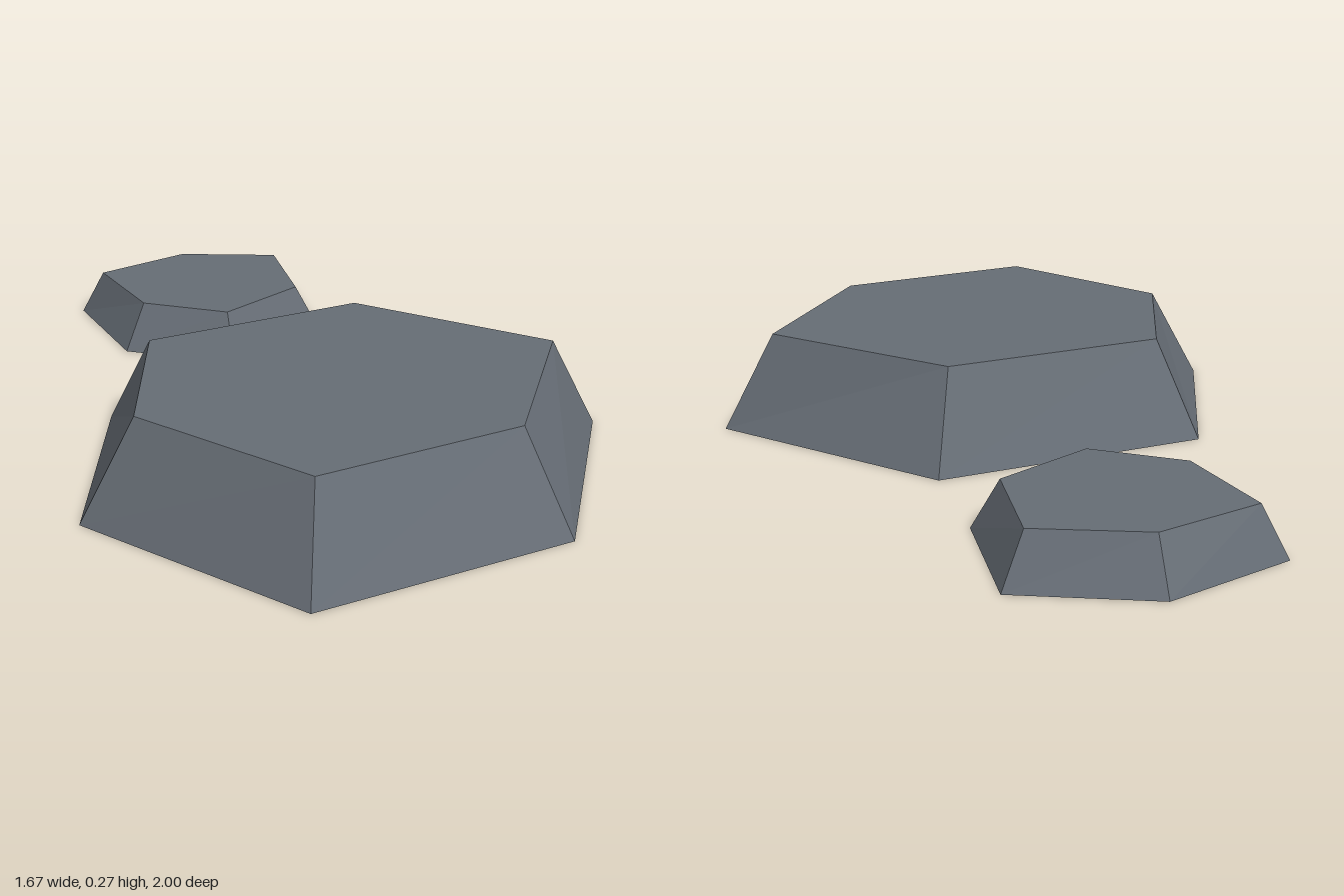
import * as THREE from 'three';

const slate = new THREE.MeshStandardMaterial({ color: 0x666d75, flatShading: true, side: THREE.DoubleSide });
slate.name = 'slateStone';

// Flat-topped stone, open underneath: two [x, z] outlines joined by sloping sides
function stone(name, base, top, height) {
  const n = base.length;
  const points = [...base.map(([x, z]) => [x, 0, z]), ...top.map(([x, z]) => [x, height, z])];
  const index = [];
  for (let i = 0; i < n; i++) {
    const j = (i + 1) % n;
    index.push(j, i, n + i, j, n + i, n + j); // sloping side
    if (i > 0 && i < n - 1) index.push(n, n + i + 1, n + i); // flat top
  }
  const indexed = new THREE.BufferGeometry();
  indexed.setAttribute('position', new THREE.Float32BufferAttribute(points.flat(), 3));
  indexed.setIndex(index);
  const geometry = indexed.toNonIndexed();
  geometry.computeVertexNormals();
  const mesh = new THREE.Mesh(geometry, slate);
  mesh.name = name;
  return mesh;
}

export function createModel() {
  const group = new THREE.Group();
  group.name = 'flatStones';
  group.add(
    stone('largeStone',
      [[-0.3, -0.385], [0.39, -0.015], [0.457, 0.73], [-0.195, 1], [-0.84, 0.67], [-0.83, -0.03]],
      [[-0.3, -0.235], [0.257, 0.06], [0.33, 0.653], [-0.195, 0.847], [-0.71, 0.59], [-0.7, 0.047]],
      0.267),
    stone('smallStone',
      [[0.272, -1], [0.632, -0.9], [0.835, -0.58], [0.584, -0.283], [0.209, -0.335], [0.09, -0.66]],
      [[0.3, -0.932], [0.59, -0.838], [0.758, -0.586], [0.553, -0.353], [0.254, -0.395], [0.166, -0.65]],
      0.137),
  );
  return group;
}
